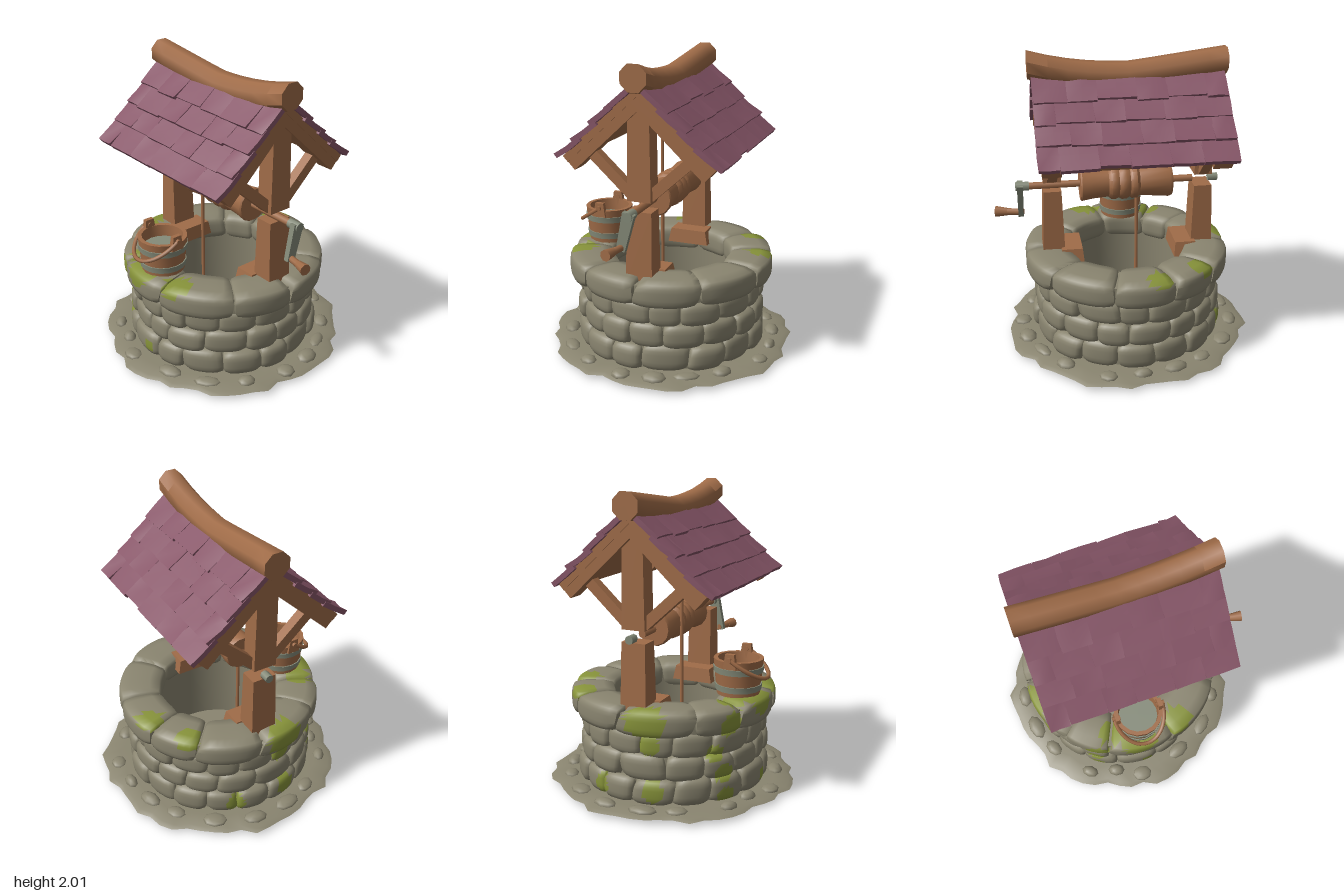
import * as THREE from 'three';
import { mergeVertices, mergeGeometries, toCreasedNormals } from 'three/addons/utils/BufferGeometryUtils.js';

const mat = (name, color, side = THREE.FrontSide) => {
  const m = new THREE.MeshStandardMaterial({ color, side });
  m.name = name;
  return m;
};
const V = (x, y, z) => new THREE.Vector3(x, y, z);

export function createModel() {
  const model = new THREE.Group();
  model.name = 'wishingWell';
  const stone = mat('stone', 0x8a8570), moss = mat('moss', 0x87933a), wood = mat('wood', 0xa06c48);
  const roofTile = mat('roofTile', 0x875668), iron = mat('iron', 0x858b79);
  let seed = 7;
  const rand = (a = 0, b = 1) => {
    seed = (seed * 16807) % 2147483647;
    return a + (b - a) * (seed / 2147483647);
  };

  const add = (name, geo, material, parent = model) => {
    const m = new THREE.Mesh(geo, material);
    m.name = name;
    parent.add(m);
    return m;
  };
  // Move every vertex by a rule, then rebuild the normals
  const shape = (geo, rule, crease = 0.7) => {
    geo.deleteAttribute('normal');
    geo.deleteAttribute('uv');
    const g = mergeVertices(geo), p = g.attributes.position, v = V(0, 0, 0);
    for (let i = 0; i < p.count; i++) {
      rule(v.fromBufferAttribute(p, i));
      p.setXYZ(i, v.x, v.y, v.z);
    }
    return toCreasedNormals(g, crease);
  };
  const rod = (name, a, b, r0, r1, material, parent, sides = 8) => {
    const d = b.clone().sub(a);
    const m = add(name, new THREE.CylinderGeometry(r1, r0, d.length(), sides), material, parent);
    m.position.copy(a).addScaledVector(d, 0.5);
    m.quaternion.setFromUnitVectors(V(0, 1, 0), d.normalize());
    return m;
  };
  const lathe = (pts, n = 24) => new THREE.LatheGeometry(pts.map(p => new THREE.Vector2(...p)), n);

  // Moss spots: x, y, z, radius
  const spots = [[-0.7, 0.6, 0.12, 0.13], [-0.38, 0.54, 0.57, 0.09], [-0.1, 0.65, 0.62, 0.12], [0.2, 0.66, 0.58, 0.1],
    [-0.27, 0.66, 0.52, 0.08], [-0.15, 0.66, -0.6, 0.09], [-0.45, 0.66, -0.47, 0.09], [-0.62, 0.42, 0.12, 0.07],
    [-0.63, 0.12, 0.15, 0.08], [-0.42, 0.35, 0.47, 0.06], [-0.38, 0.22, 0.51, 0.07], [-0.38, 0.07, 0.53, 0.06],
    [-0.03, 0.1, 0.64, 0.05], [-0.6, 0.1, -0.2, 0.08]];
  const mossy = geo => {
    const p = geo.attributes.position, n = geo.attributes.normal;
    const parts = [[[], []], [[], []]], c = V(0, 0, 0), v = V(0, 0, 0);
    for (let i = 0; i < p.count; i += 3) {
      c.set(0, 0, 0);
      for (let j = 0; j < 3; j++) c.addScaledVector(v.fromBufferAttribute(p, i + j), 1 / 3);
      const k = spots.some(s => Math.hypot(c.x - s[0], c.y - s[1], c.z - s[2]) < s[3]) ? 1 : 0;
      for (let j = i; j < i + 3; j++) {
        parts[k][0].push(p.getX(j), p.getY(j), p.getZ(j));
        parts[k][1].push(n.getX(j), n.getY(j), n.getZ(j));
      }
    }
    const out = new THREE.BufferGeometry();
    [0, 1].forEach(a => out.setAttribute(a ? 'normal' : 'position',
      new THREE.Float32BufferAttribute(parts[0][a].concat(parts[1][a]), 3)));
    out.addGroup(0, parts[0][0].length / 3, 0);
    out.addGroup(parts[0][0].length / 3, parts[1][0].length / 3, 1);
    return out;
  };

  // One rounded stone bent around the well axis
  const cx = -0.025;
  const arcStone = (r0, r1, y0, y1, a0, a1, k) => {
    const t = rand(-0.06, 0.06);
    return shape(new THREE.BoxGeometry(2, 2, 2, 8, 6, 4), v => {
      const [u, h, w] = [v.x, v.y, v.z], q = x => x ** 4;
      const a = (a0 + a1) / 2 + u * (a1 - a0) / 2 * (1 - 0.06 * q(h) - 0.03 * q(w)) + t * h * (a1 - a0);
      const r = (r0 + r1) / 2 + w * (r1 - r0) / 2 * (1 - k * (q(u) + q(h)));
      const y = (y0 + y1) / 2 + h * (y1 - y0) / 2 * (1 - 0.1 * q(u) - 0.14 * q(w));
      v.set(cx + r * Math.sin(a), y, r * Math.cos(a));
    }, 1.3);
  };
  const ringOfStones = (count, start, r0, r1, y0, y1, k, jitter) => {
    const step = Math.PI * 2 / count, cuts = [];
    for (let i = 0; i < count; i++) cuts.push(start + step * (i + rand(-0.18, 0.18)));
    cuts.push(cuts[0] + Math.PI * 2);
    return cuts.slice(0, count).map((a, i) =>
      arcStone(r0, r1 + rand(-jitter, jitter), y0, y1 + rand(-jitter, jitter) * 0.6, a, cuts[i + 1], k));
  };

  // Ragged ground slab and loose pebbles
  add('ground', shape(lathe([[0, 0.015], [0.32, 0.012], [0.38, 0], [0.78, 0.002], [0.83, 0.012], [0.8, 0.026], [0.7, 0.034], [0.5, 0.03], [0, 0.03]], 56), v => {
    const r = Math.hypot(v.x, v.z), a = Math.atan2(v.x, v.z);
    const f = r > 0.6 ? 1 + 0.022 * Math.sin(7 * a + 1) + 0.018 * Math.sin(17 * a) + 0.012 * Math.sin(25 * a + 2) : 1;
    v.set(v.x * f + cx * (r > 0.1 ? 1 : 0), v.y, v.z * f);
  }), stone);
  for (let i = 0; i < 18; i++) {
    const a = i * Math.PI / 9 + rand(-0.1, 0.1), r = rand(0.69, 0.75);
    const p = add('pebble', new THREE.SphereGeometry(1, 8, 6), stone);
    p.scale.set(rand(0.06, 0.1), rand(0.02, 0.042), rand(0.04, 0.065));
    p.position.set(cx + r * Math.sin(a), 0.028, r * Math.cos(a));
    p.rotation.y = a;
  }

  // Well wall, lining and rim
  const core = add('wallCore', toCreasedNormals(lathe([[0.61, 0.02], [0.585, 0.48], [0.65, 0.51], [0.65, 0.62], [0.42, 0.62], [0.43, 0.02]], 40), 0.6), stone);
  core.position.x = cx;
  const wall = [[0.02, 0.2, 0.655], [0.18, 0.35, 0.645], [0.33, 0.5, 0.632]]
    .flatMap(([y0, y1, r], i) => ringOfStones(16, 0.1 + i * 0.2, 0.5, r, y0, y1, 0.2, 0.014));
  add('wallStones', mossy(mergeGeometries(wall)), [stone, moss]);
  add('rimStones', mossy(mergeGeometries(ringOfStones(10, 0.27, 0.4, 0.7, 0.485, 0.66, 0.09, 0.006))), [stone, moss]);

  // Tapered timber with its base at the origin
  const timber = (w0, d0, w1, d1, h) => shape(new THREE.BoxGeometry(1, 1, 1), v => {
    const top = v.y > 0;
    v.set(v.x * (top ? w1 : w0), top ? h : 0, v.z * (top ? d1 : d0));
  });

  // Posts, braces and rafters at each end
  [[-0.54, -0.56, 1.06], [0.48, 0.52, 1.075]].forEach(([x, rx, top]) => {
    add('lowerPost', timber(0.15, 0.18, 0.12, 0.165, top - 0.6), wood).position.set(x, 0.6, 0);
    add('upperPost', timber(0.12, 0.16, 0.12, 0.14, 0.68), wood).position.set(x, 1.14, 0);
    add('postSill', timber(0.16, 0.3, 0.14, 0.26, 0.1), wood).position.set(x - Math.sign(x) * 0.12, 0.568, 0);
    for (const s of [-1, 1]) {
      const brace = add('brace', timber(0.065, 0.07, 0.065, 0.07, 0.36), wood);
      brace.position.set(x, 1.17, s * 0.06);
      brace.rotation.x = s * 0.83;
    }
  });

  // Roof slopes: boards, rafters and staggered tiles
  const roofX = -0.035, pitch = 0.752;
  for (const turn of [0, Math.PI]) {
    const side = new THREE.Group(), slope = new THREE.Group();
    side.name = turn ? 'backRoof' : 'frontRoof';
    side.position.x = roofX;
    side.rotation.y = turn;
    slope.position.set(0, 1.84, 0.08);
    slope.rotation.x = pitch;
    side.add(slope);
    model.add(side);
    add('roofBoards', new THREE.BoxGeometry(1.2, 0.05, 0.68), wood, slope).position.set(0, -0.06, 0.275);
    for (const x of [-0.535, 0.535])
      add('rafter', new THREE.BoxGeometry(0.12, 0.11, 0.7), wood, slope).position.set(x, -0.095, 0.265);
    for (let row = 0; row < 4; row++) {
      let x = -0.62;
      const widths = row % 2 ? [0.13, 0.24, 0.19, 0.25, 0.2, 0.23] : [0.21, 0.19, 0.25, 0.2, 0.25, 0.14];
      widths.forEach(w => {
        const len = 0.2 + rand(-0.015, 0.025), lift = rand(0, 0.012);
        const geo = shape(new THREE.BoxGeometry(w + 0.006, 0.034, len, 2, 1, 2), v => {
          const low = v.z > 0.01 ? 1 : 0;
          v.y += low * lift + 0.005 * Math.sin(40 * (v.x + x) + 9 * v.z + row);
          v.x -= Math.sign(v.x) * low * 0.005;
        }, 0.5);
        const tile = add('roofTile', geo, roofTile, slope);
        tile.position.set(x + w / 2, -0.02, row * 0.157 + 0.07);
        tile.rotation.x = -0.08;
        x += w;
      });
    }
  }

  // Sagging ridge beam
  const ridge = new THREE.CylinderGeometry(0.092, 0.092, 1.29, 8, 10);
  ridge.rotateY(Math.PI / 8).rotateZ(Math.PI / 2).translate(-0.035, 0, 0);
  add('ridgeBeam', shape(ridge, v => {
    const sag = v.x < -0.05 ? 0.08 * (-0.05 - v.x) / 0.63 : 0.09 * ((v.x + 0.05) / 0.66) ** 2.2;
    v.y += 1.825 + sag;
  }, 0.8), wood);

  // Winding drum, axle and rope
  const drum = add('drum', toCreasedNormals(lathe([[0, -0.33], [0.11, -0.33], [0.118, -0.31], [0.1, -0.12], [0.098, -0.11], [0.117, -0.09], [0.117, -0.06],
    [0.106, -0.045], [0.12, -0.02], [0.12, 0.01], [0.108, 0.03], [0.118, 0.05], [0.116, 0.08], [0.098, 0.1], [0.105, 0.2], [0.118, 0.28], [0.11, 0.29], [0, 0.29]], 14), 0.7), wood);
  drum.rotation.z = -Math.PI / 2;
  drum.position.y = 1.09;
  rod('leftAxle', V(-0.48, 1.09, 0), V(-0.32, 1.09, 0), 0.025, 0.025, wood);
  rod('rightAxle', V(0.28, 1.095, 0), V(0.68, 1.095, 0), 0.025, 0.025, wood);
  rod('axleCap', V(-0.655, 1.09, 0), V(-0.59, 1.09, 0), 0.028, 0.028, iron);
  rod('rope', V(-0.115, 0.25, 0.105), V(-0.115, 1.6, 0.105), 0.012, 0.012, wood);

  // Crank
  const arm = add('crankArm', timber(0.035, 0.06, 0.04, 0.08, 0.25), iron);
  arm.position.set(0.69, 0.87, 0.055);
  arm.rotation.x = -0.23;
  rod('crankHub', V(0.63, 1.095, 0), V(0.72, 1.095, 0), 0.032, 0.032, iron);
  rod('crankHandle', V(0.67, 0.89, 0.045), V(0.8, 0.89, 0.07), 0.022, 0.024, wood);
  rod('crankKnob', V(0.78, 0.89, 0.066), V(0.86, 0.89, 0.082), 0.026, 0.038, wood);

  // Bucket with iron bands, lugs and a hanging handle
  const bucket = new THREE.Group();
  bucket.name = 'bucket';
  bucket.position.set(-0.058, 0.655, 0.49);
  model.add(bucket);
  add('bucketStaves', toCreasedNormals(lathe([[0, 0], [0.143, 0], [0.165, 0.24], [0.138, 0.24], [0.128, 0.1], [0, 0.1]], 16), 0.5), wood, bucket);
  [[0.05, 0.149], [0.17, 0.16]].forEach(([y, r]) => {
    add('bucketBand', toCreasedNormals(lathe([[r - 0.01, -0.02], [r + 0.004, -0.02], [r + 0.008, 0.02], [r - 0.01, 0.02]], 16), 0.5), iron, bucket).position.y = y;
  });
  const water = add('bucketFill', new THREE.CircleGeometry(0.137, 16), iron, bucket);
  water.rotation.x = -Math.PI / 2;
  water.position.y = 0.16;
  for (const s of [-1, 1]) {
    add('bucketLug', timber(0.035, 0.09, 0.03, 0.06, 0.1), wood, bucket).position.set(s * 0.152, 0.195, 0);
    rod('handlePin', V(s * 0.13, 0.26, 0), V(s * 0.185, 0.26, 0), 0.016, 0.016, wood, bucket);
  }
  const bail = [];
  for (let i = 0; i <= 10; i++) {
    const a = Math.PI * i / 10;
    bail.push(V(-0.172 * Math.cos(a), 0.26 - 0.135 * Math.sin(a), 0.2 * Math.sin(a)));
  }
  add('bucketHandle', new THREE.TubeGeometry(new THREE.CatmullRomCurve3(bail), 24, 0.014, 6), wood, bucket);

  return model;
}
